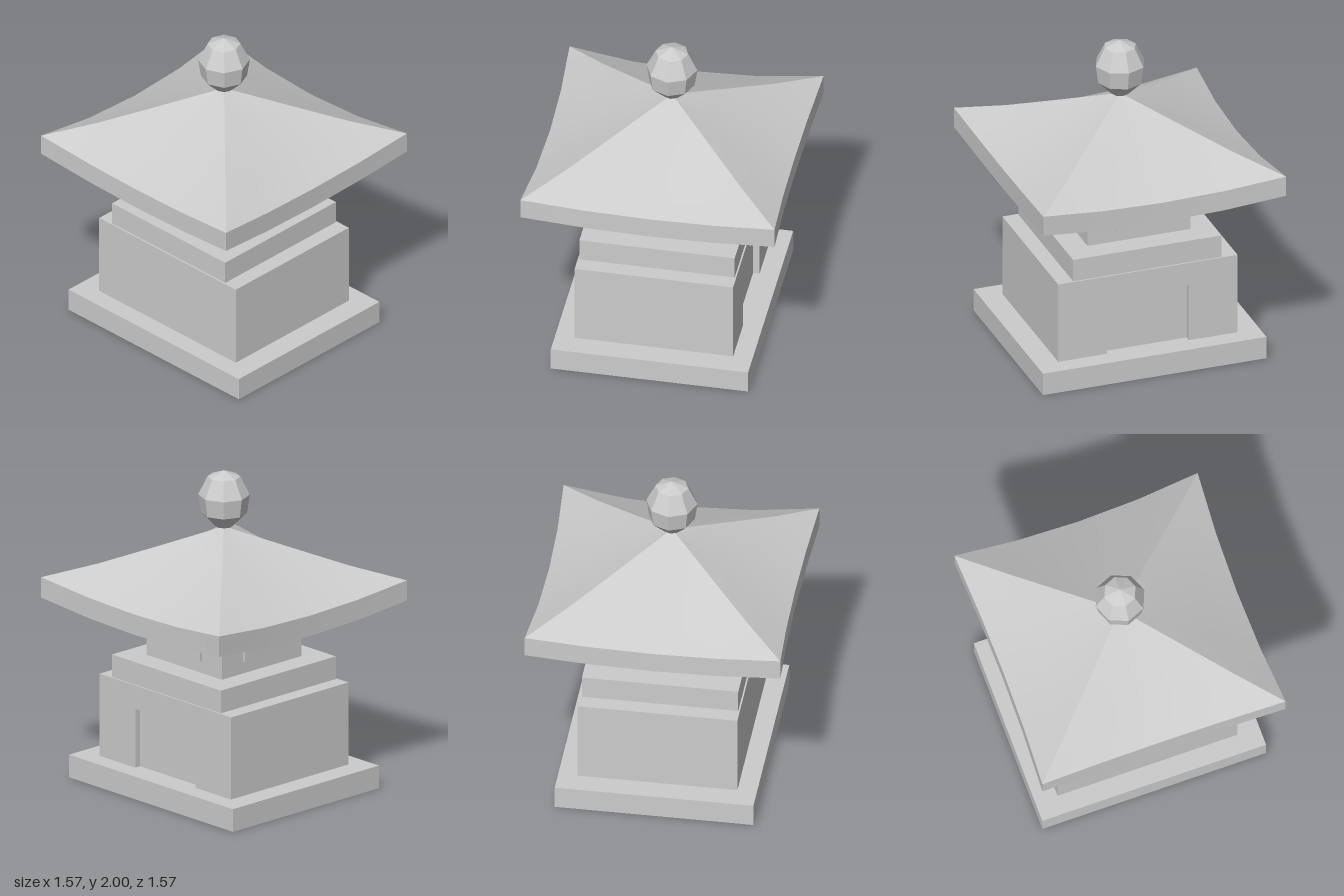
import * as THREE from 'three';

const grey = new THREE.MeshStandardMaterial({ color: 0xcccccc });
const flat = new THREE.MeshStandardMaterial({ color: 0xcccccc, flatShading: true });
const thin = new THREE.MeshStandardMaterial({ color: 0xcccccc, side: THREE.DoubleSide });

function add(parent, name, geometry, material = grey) {
  const mesh = new THREE.Mesh(geometry, material);
  mesh.name = name;
  parent.add(mesh);
  return mesh;
}

// Box given by its width, depth and vertical range
function block(parent, name, w, d, y0, y1, z = 0) {
  const mesh = add(parent, name, new THREE.BoxGeometry(w, y1 - y0, d));
  mesh.position.set(0, (y0 + y1) / 2, z);
  return mesh;
}

// Smooth surface through equally long rows of points
function loft(rows) {
  const n = rows[0].length;
  const index = [];
  for (let i = 0; i < rows.length - 1; i++) {
    for (let j = 0; j < n - 1; j++) {
      const a = i * n + j, b = a + 1, c = a + n, d = c + 1;
      index.push(a, c, b, b, c, d);
    }
  }
  const geometry = new THREE.BufferGeometry();
  geometry.setAttribute('position', new THREE.Float32BufferAttribute(rows.flat(2), 3));
  geometry.setIndex(index);
  geometry.computeVertexNormals();
  return geometry;
}

// Points across one side of the roof, t running from corner to corner
const acrossSide = (f) => [-1, -0.5, 0, 0.5, 1].map(f);

function createRoofSide() {
  const side = new THREE.Group();
  side.name = 'roofSide';
  // Height of the ridge at each ring, from the apex to the eave
  const ridge = [[0.002, 1.64], [0.355, 1.513], [0.685, 1.397], [1, 1.305]];
  const slope = ridge.map(([r, y]) => acrossSide((t) => [
    t * 0.785 * r,
    y - 0.055 * r * r * (1 - t * t),
    r * (0.785 - 0.03 * r * (1 - t * t)),
  ]));
  const eave = slope[3];
  const lower = eave.map(([x, y, z]) => [x, y - 0.13, z]);
  const inner = acrossSide((t) => [t * 0.42, 1.195, 0.42]);
  add(side, 'roofSlope', loft(slope), thin);
  add(side, 'roofRim', loft([eave, lower]), thin);
  add(side, 'roofUnderside', loft([lower, inner]), thin);
  return side;
}

export function createModel() {
  const model = new THREE.Group();
  model.name = 'stoneLantern';

  // Stepped base
  block(model, 'plinth', 1.445, 1.22, 0, 0.145);
  block(model, 'body', 1.16, 0.94, 0.145, 0.67, 0.02);

  // Back wall with a shallow door recess open at the bottom
  const wall = new THREE.Shape([
    [-0.58, 0.145], [-0.265, 0.145], [-0.265, 0.52], [0.265, 0.52],
    [0.265, 0.145], [0.58, 0.145], [0.58, 0.67], [-0.58, 0.67],
  ].map(([x, y]) => new THREE.Vector2(x, y)));
  add(model, 'doorSurround',
    new THREE.ExtrudeGeometry(wall, { depth: 0.04, bevelEnabled: false })).position.z = -0.49;

  block(model, 'upperStep', 0.96, 0.96, 0.67, 0.815);

  // Light chamber with a window on every side
  block(model, 'chamber', 0.665, 0.665, 0.815, 1.165);
  for (let i = 0; i < 4; i++) {
    const pivot = new THREE.Group();
    pivot.name = 'windowSide';
    pivot.rotation.y = i * Math.PI / 2;
    block(pivot, 'window', 0.31, 0.03, 0.89, 1.09, 0.332);
    model.add(pivot);
  }
  block(model, 'ceilingPlate', 0.88, 0.88, 1.16, 1.2);

  // Four matching roof sides
  const roof = new THREE.Group();
  roof.name = 'roof';
  for (let i = 0; i < 4; i++) {
    const side = createRoofSide();
    side.rotation.y = i * Math.PI / 2;
    roof.add(side);
  }
  model.add(roof);

  // Faceted finial
  const profile = [[0, 1.64], [0.055, 1.645], [0.14, 1.73], [0.157, 1.845], [0.1, 1.96], [0, 2]];
  add(model, 'finial',
    new THREE.LatheGeometry(profile.map(([x, y]) => new THREE.Vector2(x, y)), 8), flat);

  return model;
}
